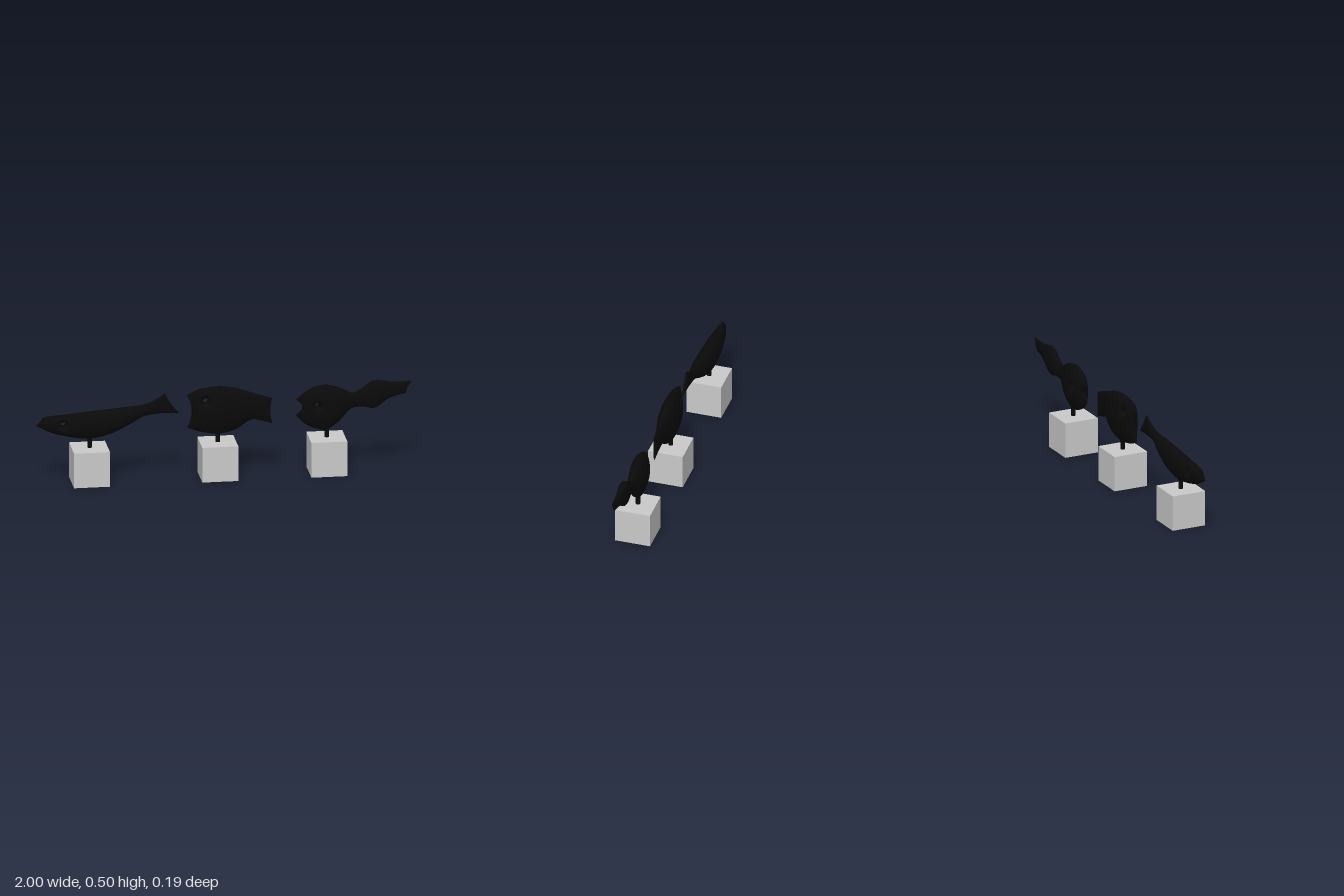
import * as THREE from 'three';
import { toCreasedNormals } from 'three/addons/utils/BufferGeometryUtils.js';

const stone = new THREE.MeshStandardMaterial({ color: 0xcccccc });
const black = new THREE.MeshStandardMaterial({ color: 0x0a0a0a, side: THREE.DoubleSide });

// Stations from mouth to tail: [topX, topY, bottomX, bottomY, halfThickness]
const FISH = [
  {
    name: 'slenderFish', standX: -0.715, eye: [-0.856, 0.328, 0.015], mouth: 0.01, tail: -0.008,
    rows: [
      [-0.965, 0.368, -1.0, 0.325, 0.008], [-0.92, 0.373, -0.92, 0.283, 0.028],
      [-0.82, 0.38, -0.82, 0.255, 0.042], [-0.71, 0.39, -0.71, 0.242, 0.047],
      [-0.6, 0.398, -0.6, 0.265, 0.045], [-0.5, 0.407, -0.5, 0.312, 0.035],
      [-0.43, 0.414, -0.43, 0.35, 0.02], [-0.37, 0.437, -0.34, 0.363, 0.015],
      [-0.315, 0.473, -0.24, 0.36, 0.007],
    ],
  },
  {
    name: 'deepFish', standX: -0.034, eye: [-0.1, 0.424, 0.017], mouth: 0.028, tail: -0.012,
    rows: [
      [-0.2, 0.457, -0.197, 0.278, 0.01], [-0.13, 0.487, -0.12, 0.25, 0.04],
      [-0.03, 0.497, -0.03, 0.238, 0.05], [0.06, 0.485, 0.055, 0.255, 0.045],
      [0.14, 0.458, 0.14, 0.305, 0.026], [0.2, 0.438, 0.2, 0.297, 0.015],
      [0.255, 0.42, 0.257, 0.28, 0.008],
    ],
  },
  {
    name: 'wavyFish', standX: 0.545, eye: [0.492, 0.373, 0.015], mouth: 0.037, tail: -0.008,
    rows: [
      [0.38, 0.405, 0.38, 0.318, 0.01], [0.45, 0.458, 0.44, 0.262, 0.037],
      [0.53, 0.48, 0.53, 0.233, 0.046], [0.61, 0.462, 0.6, 0.268, 0.035],
      [0.68, 0.43, 0.67, 0.34, 0.018], [0.735, 0.455, 0.735, 0.35, 0.024],
      [0.8, 0.494, 0.8, 0.342, 0.03], [0.895, 0.48, 0.88, 0.393, 0.018],
      [0.998, 0.482, 0.965, 0.415, 0.007],
    ],
  },
];

// Body: lens-shaped sections between top and bottom lines, pierced by a dished eye hole
function fishGeometry({ rows, eye, mouth, tail }) {
  const NU = 120, NV = 40;
  const spline = (a, b) => new THREE.SplineCurve(rows.map((r) => new THREE.Vector2(r[a], b === null ? 0 : r[b])));
  const top = spline(0, 1), bottom = spline(2, 3), thick = spline(4, null);
  const [ex, ey, er] = eye;
  const pos = [], inHole = [], index = [];

  for (let i = 0; i <= NU; i++) {
    const u = i / NU;
    const t = top.getPoint(u), b = bottom.getPoint(u), h = thick.getPoint(u).x;
    // hollow curve of the mouth and tail edges
    const shift = mouth * Math.max(0, 1 - u / 0.2) ** 2 + tail * Math.max(0, 1 - (1 - u) / 0.2) ** 2;
    for (let j = 0; j <= NV; j++) {
      const v = -Math.cos((Math.PI * j) / NV);
      const p = b.clone().lerp(t, (v + 1) / 2);
      p.x += shift * (1 - v * v);
      // points inside the eye move out to its rim
      const dx = p.x - ex, dy = p.y - ey;
      let d = Math.hypot(dx, dy);
      const inside = d < er;
      if (inside) {
        const k = er / Math.max(d, 1e-6);
        p.set(ex + dx * k, ey + dy * k);
        d = er;
      }
      const dish = 0.55 + 0.45 * THREE.MathUtils.smoothstep(d, er, er * 2.2);
      const z = h * dish * Math.sqrt(Math.max(0, 1 - v * v));
      pos.push(p.x, p.y, z, p.x, p.y, -z);
      inHole.push(inside);
    }
  }

  // front vertex of point n is 2n, back vertex is 2n + 1
  const wall = (a, b) => index.push(2 * a, 2 * a + 1, 2 * b, 2 * b, 2 * a + 1, 2 * b + 1);
  const face = (a, b, c) => {
    const tri = [a, b, c];
    const rim = tri.filter((n) => inHole[n]);
    if (rim.length === 3) return;
    index.push(2 * a, 2 * b, 2 * c, 2 * a + 1, 2 * c + 1, 2 * b + 1);
    if (rim.length === 2) {
      const k = tri.findIndex((n) => !inHole[n]);
      wall(tri[(k + 1) % 3], tri[(k + 2) % 3]);
    }
  };
  const at = (i, j) => i * (NV + 1) + j;
  for (let j = 0; j < NV; j++) {
    for (let i = 0; i < NU; i++) {
      face(at(i, j), at(i + 1, j), at(i + 1, j + 1));
      face(at(i, j), at(i + 1, j + 1), at(i, j + 1));
    }
    // thin edges closing the mouth and the tail
    wall(at(0, j + 1), at(0, j));
    wall(at(NU, j), at(NU, j + 1));
  }

  const g = new THREE.BufferGeometry();
  g.setAttribute('position', new THREE.Float32BufferAttribute(pos, 3));
  g.setIndex(index);
  return toCreasedNormals(g, 0.8);
}

export function createModel() {
  const model = new THREE.Group();
  const add = (parent, name, geometry, material, x = 0, y = 0) => {
    const mesh = new THREE.Mesh(geometry, material);
    mesh.name = name;
    mesh.position.set(x, y, 0);
    parent.add(mesh);
  };
  // stem flares where it meets the belly
  const stemProfile = [[0.012, 0.19], [0.012, 0.228], [0.015, 0.24], [0.022, 0.252], [0, 0.27]]
    .map(([r, y]) => new THREE.Vector2(r, y));

  for (const fish of FISH) {
    const group = new THREE.Group();
    group.name = fish.name;
    add(group, 'plinth', new THREE.BoxGeometry(0.191, 0.192, 0.191), stone, fish.standX, 0.096);
    add(group, 'stem', new THREE.LatheGeometry(stemProfile, 24), black, fish.standX);
    add(group, 'body', fishGeometry(fish), black);
    model.add(group);
  }
  return model;
}
